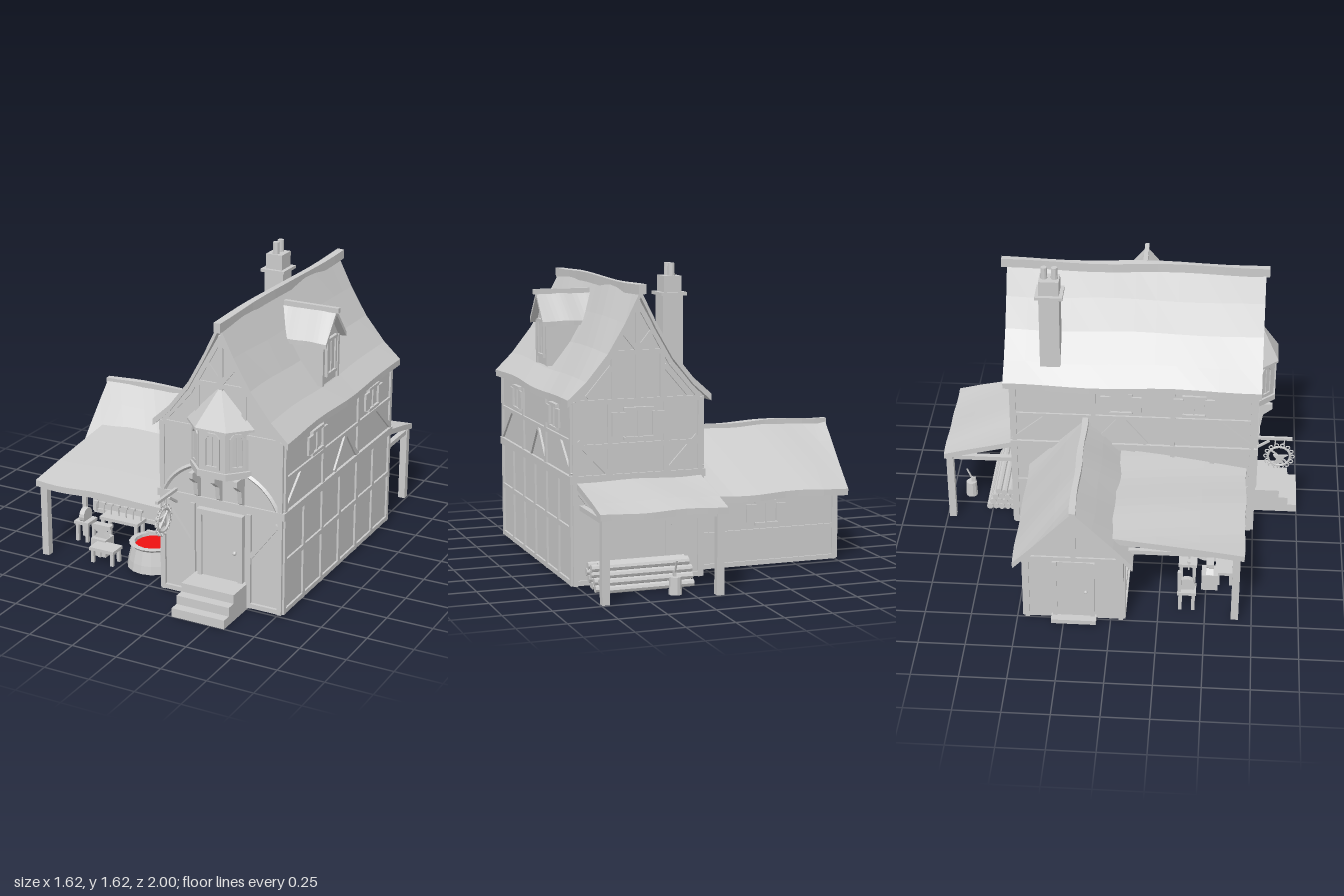
import * as THREE from 'three';
import { ConvexGeometry } from 'three/addons/geometries/ConvexGeometry.js';

const grey = new THREE.MeshStandardMaterial({ color: 0xcccccc, flatShading: true, side: THREE.DoubleSide });
const red = new THREE.MeshStandardMaterial({ color: 0xee1111, flatShading: true });

function add(parent, name, geo, x = 0, y = 0, z = 0, mat = grey) {
  const m = new THREE.Mesh(geo, mat);
  m.name = name;
  m.position.set(x, y, z);
  parent.add(m);
  return m;
}
// box given by its limits
function box(p, name, x0, x1, y0, y1, z0, z1) {
  return add(p, name, new THREE.BoxGeometry(x1 - x0, y1 - y0, z1 - z0), (x0 + x1) / 2, (y0 + y1) / 2, (z0 + z1) / 2);
}
function group(p, name, x = 0, y = 0, z = 0, ry = 0) {
  const g = new THREE.Group();
  g.name = name;
  g.position.set(x, y, z);
  g.rotation.y = ry;
  p.add(g);
  return g;
}
const shape = pts => new THREE.Shape(pts.map(q => new THREE.Vector2(...q)));
const extrude = (pts, depth) => new THREE.ExtrudeGeometry(shape(pts), { depth, bevelEnabled: false });

// wavy roof slab: profile [across, y] swept from b0 to b1 along z or x
function roof(p, name, prof, b0, b1, alongX, th = 0.03, wave = 0.006) {
  const n = prof.length - 1;
  const g = new THREE.BoxGeometry(1, 1, 1, n, 1, 12), pos = g.attributes.position;
  for (let i = 0; i < pos.count; i++) {
    const k = Math.round((pos.getX(i) + 0.5) * n), w = pos.getZ(i), t = pos.getY(i) - 0.5;
    const b = (b0 + b1) / 2 + (alongX ? -w : w) * (b1 - b0);
    const y = prof[k][1] + t * th + wave * Math.sin(w * 9 + k * 0.7);
    const a = prof[k][0] + wave * 0.6 * Math.sin(w * 13 + k);
    if (alongX) pos.setXYZ(i, b, y, a); else pos.setXYZ(i, a, y, b);
  }
  g.computeVertexNormals();
  return add(p, name, g);
}
// flat timber between two points of a wall
function timber(wall, x0, y0, x1, y1, w = 0.025) {
  const m = add(wall, 'timber', new THREE.BoxGeometry(Math.hypot(x1 - x0, y1 - y0), w, 0.016), (x0 + x1) / 2, (y0 + y1) / 2, 0);
  m.rotation.z = Math.atan2(y1 - y0, x1 - x0);
}
// window with frame, bars and open shutters
function shutteredWindow(wall, x, y, w = 0.11, h = 0.12) {
  const g = group(wall, 'window', x, y, 0);
  box(g, 'pane', -w / 2, w / 2, -h / 2, h / 2, -0.01, 0.006);
  for (const s of [-1, 1]) {
    box(g, 'frameRail', -w / 2 - 0.01, w / 2 + 0.01, s * h / 2 - 0.008, s * h / 2 + 0.008, 0, 0.02);
    add(g, 'shutter', new THREE.BoxGeometry(w / 2, h * 0.8, 0.012), s * (w * 0.77), 0, 0.014);
  }
  box(g, 'bar', -0.004, 0.004, -h / 2, h / 2, 0, 0.014);
}
function post(p, name, x, z, h, w = 0.04) { box(p, name, x - w / 2, x + w / 2, 0, h, z - w / 2, z + w / 2); }
// open-bottomed ring of four walls
function walls(p, name, x0, x1, y0, y1, z0, z1, t = 0.02) {
  const g = group(p, name);
  box(g, 'backWall', x0, x1, y0, y1, z0, z0 + t);
  box(g, 'frontWall', x0, x1, y0, y1, z1 - t, z1);
  box(g, 'rightWall', x0, x0 + t, y0, y1, z0 + t, z1 - t);
  box(g, 'leftWall', x1 - t, x1, y0, y1, z0 + t, z1 - t);
}

function mainHouse(root) {
  const h = group(root, 'mainHouse');
  walls(h, 'groundFloor', 0.08, 0.775, 0.01, 0.56, -0.605, 0.735);
  add(h, 'upperFloor', extrude([[0.08, 0.55], [0.775, 0.55], [0.775, 0.96], [0.6, 1.14], [0.425, 1.46], [0.25, 1.14], [0.08, 0.96]], 1.35), 0, 0, -0.605);
  box(h, 'floorBand', 0.065, 0.79, 0.535, 0.575, -0.615, 0.755);
  roof(h, 'mainRoof', [[0.045, 0.96], [0.14, 1.05], [0.25, 1.19], [0.34, 1.345], [0.425, 1.51], [0.51, 1.345], [0.6, 1.19], [0.71, 1.05], [0.805, 0.96]], -0.645, 0.765, false, 0.035);
  roof(h, 'ridgeBeam', [[0.405, 1.53], [0.44, 1.53]], -0.675, 0.785, false, 0.05);

  // framing of the two long sides
  for (const s of [1, -1]) {
    const w = group(h, 'sideFraming', s > 0 ? 0.778 : 0.077, 0, 0, s * Math.PI / 2);
    for (let i = 0; i <= 6; i++) {
      const x = -0.725 * s + s * i * 0.2195;
      timber(w, x, 0.01, x, 0.54);
      if (i % 2 === 0) timber(w, x, 0.57, x, 0.95);
    }
    const a = s > 0 ? -0.73 : -0.6, b = s > 0 ? 0.6 : 0.73;
    for (const y of [0.025, 0.3, 0.945]) timber(w, a, y, b, y);
    timber(w, a, 0.75, b, 0.75, 0.02);
    timber(w, a, 0.58, a + 0.2, 0.75); timber(w, b, 0.58, b - 0.2, 0.75);
    timber(w, 0, 0.75, -0.14, 0.58); timber(w, 0, 0.75, 0.14, 0.58);
    for (const z of s > 0 ? [0.385, -0.325] : [0.4, 0]) shutteredWindow(w, -s * z, 0.845);
  }
  // framing of the two gables
  for (const s of [1, -1]) {
    const w = group(h, 'gableFraming', 0.4275, 0, s > 0 ? 0.745 : -0.608, s > 0 ? 0 : Math.PI);
    for (const e of [-1, 1]) {
      timber(w, e * 0.335, 0.01, e * 0.335, 0.95);
      timber(w, e * 0.16, 0.01, e * 0.16, 0.53);
      timber(w, e * 0.32, 0.5, e * 0.17, 0.3);
      timber(w, e * 0.33, 0.95, e * 0.175, 1.13); timber(w, e * 0.175, 1.13, 0, 1.44);
      timber(w, e * 0.13, 0.95, e * 0.13, 1.19);
      timber(w, 0, 1.2, e * 0.08, 1.3);
      if (s < 0) {
        timber(w, e * 0.15, 0.57, e * 0.15, 0.95);
        timber(w, e * 0.32, 0.75, e * 0.16, 0.58);
        timber(w, e * 0.27, 0.97, e * 0.14, 1.12);
      }
    }
    timber(w, 0, 0.95, 0, 1.45);
    timber(w, -0.33, 0.945, 0.33, 0.945); timber(w, -0.14, 1.19, 0.14, 1.19);
    timber(w, -0.33, 0.025, 0.33, 0.025);
    if (s < 0) { timber(w, -0.33, 0.72, 0.33, 0.72); shutteredWindow(w, 0, 0.83, 0.14, 0.15); }
  }
  // front door and steps
  const d = group(h, 'frontDoor', 0.43, 0, 0.735);
  box(d, 'doorLeaf', -0.11, 0.11, 0.14, 0.485, 0, 0.018);
  for (const s of [-1, 1]) box(d, 'doorPost', s * 0.117 - 0.012, s * 0.117 + 0.012, 0.14, 0.51, 0, 0.03);
  box(d, 'lintel', -0.13, 0.13, 0.485, 0.515, 0, 0.035);
  add(d, 'knob', new THREE.SphereGeometry(0.011, 8, 6), 0.085, 0.305, 0.028);
  for (let i = 0; i < 3; i++) box(h, 'step', 0.28, 0.58, i ? i * 0.048 : 0, (i + 1) * 0.048, 0.735, 1 - i * 0.052);

  // chimney with two pots
  const c = group(h, 'chimney', 0.18, 0, -0.39);
  box(c, 'stack', -0.055, 0.055, 0.98, 1.46, -0.055, 0.055);
  box(c, 'cap', -0.07, 0.07, 1.455, 1.472, -0.075, 0.075);
  box(c, 'crown', -0.048, 0.048, 1.47, 1.555, -0.055, 0.055);
  for (const z of [-0.028, 0.028]) add(c, 'pot', new THREE.CylinderGeometry(0.017, 0.019, 0.07, 10), 0, 1.585, z);

  // dormer facing the left side
  const o = group(h, 'dormer', 0.44, 0, 0.102, Math.PI / 2);
  add(o, 'dormerWalls', extrude([[-0.1, 1.06], [0.1, 1.06], [0.1, 1.29], [0, 1.42], [-0.1, 1.29]], 0.28));
  roof(o, 'dormerRoof', [[-0.125, 1.3], [0, 1.45], [0.125, 1.3]], 0.02, 0.315, false, 0.025, 0.002);
  box(o, 'dormerRidge', -0.012, 0.012, 1.435, 1.462, 0.02, 0.33);
  box(o, 'dormerPane', -0.045, 0.045, 1.12, 1.29, 0.27, 0.286);
  for (const s of [-1, 1]) {
    box(o, 'dormerFrame', s * 0.05 - 0.008, s * 0.05 + 0.008, 1.1, 1.3, 0.27, 0.295);
    box(o, 'dormerCorner', s * 0.092 - 0.01, s * 0.092 + 0.01, 1.06, 1.29, 0.27, 0.29);
  }
  box(o, 'dormerBar', -0.004, 0.004, 1.12, 1.29, 0.27, 0.292);
  for (const y of [1.11, 1.295]) box(o, 'dormerRail', -0.06, 0.06, y - 0.008, y + 0.008, 0.27, 0.297);
}

function bayWindow(root) {
  const b = group(root, 'bayWindow', 0.425, 0, 0.742);
  const plan = k => [[-0.172 * k, 0], [-0.078 * k, 0.1 * k], [0.078 * k, 0.1 * k], [0.172 * k, 0]];
  const prism = (k, y0, y1) => new ConvexGeometry(plan(k).flatMap(([x, z]) => [new THREE.Vector3(x, y0, z), new THREE.Vector3(x, y1, z)]));
  add(b, 'bayBase', prism(1.03, 0.73, 0.765));
  add(b, 'bayBody', prism(0.93, 0.765, 0.985));
  add(b, 'bayRoof', new ConvexGeometry([...plan(1.12).flatMap(([x, z]) => [new THREE.Vector3(x, 0.978, z), new THREE.Vector3(x, 0.99, z)]), new THREE.Vector3(0, 1.19, 0)]));
  // one framed pane on each of the three faces
  const t = Math.atan2(0.094, 0.1);
  for (const [x, z, a, w] of [[0, 0.093, 0, 0.09], [0.116, 0.047, t, 0.08], [-0.116, 0.047, -t, 0.08]]) {
    const f = group(b, 'bayPane', x, 0.875, z, a);
    const s = shape([[-w / 2, -0.095], [w / 2, -0.095], [w / 2, 0.07], [w / 4, 0.095], [-w / 4, 0.095], [-w / 2, 0.07]]);
    const q = w / 2 - 0.014;
    s.holes.push(new THREE.Path([[-q, -0.08], [q, -0.08], [q, 0.06], [q / 2, 0.08], [-q / 2, 0.08], [-q, 0.06]].map(p => new THREE.Vector2(...p))));
    add(f, 'paneFrame', new THREE.ExtrudeGeometry(s, { depth: 0.01, bevelEnabled: false }));
    box(f, 'paneBar', -0.003, 0.003, -0.08, 0.08, 0, 0.006);
  }
  // brackets below and curved braces on the wall
  for (const x of [-0.125, 0, 0.125]) {
    const m = add(b, 'bracket', extrude([[0, 0.57], [0.03, 0.59], [0.04, 0.66], [0.09, 0.7], [0.09, 0.73], [0, 0.73]], 0.024), x - 0.012, 0, 0);
    m.rotation.y = -Math.PI / 2;
    m.position.x = x + 0.012;
  }
  for (const s of [-1, 1]) {
    const v = (x, y) => new THREE.Vector3(s * x, y, 0.006);
    add(b, 'curvedBrace', new THREE.TubeGeometry(new THREE.QuadraticBezierCurve3(v(0.32, 0.58), v(0.27, 0.69), v(0.15, 0.74)), 10, 0.012, 4));
  }
}

function hangingSign(root) {
  const s = group(root, 'hangingSign', 0.17, 0.465, 0.88);
  box(s, 'signArm', -0.008, 0.008, 0.112, 0.128, -0.14, 0.07);
  const strut = box(s, 'signStrut', -0.006, 0.006, 0.07, 0.082, -0.145, -0.05);
  strut.rotation.x = -0.6;
  const ring = add(s, 'signRing', new THREE.TorusGeometry(0.062, 0.007, 6, 24));
  ring.rotation.y = Math.PI / 2;
  for (let i = 0; i < 14; i++) {
    const a = i / 14 * Math.PI * 2;
    add(s, 'rimLoop', new THREE.TorusGeometry(0.011, 0.004, 5, 10), 0, Math.sin(a) * 0.074, Math.cos(a) * 0.074).rotation.y = Math.PI / 2;
  }
  for (const z of [-0.025, 0.025]) box(s, 'chain', -0.003, 0.003, 0.06, 0.115, z - 0.003, z + 0.003);
  add(s, 'anvilEmblem', extrude([[-0.03, -0.04], [0.03, -0.04], [0.012, -0.01], [0.05, 0.015], [-0.035, 0.015], [-0.012, -0.015]], 0.01), -0.005).rotation.y = -Math.PI / 2;
  const bar = box(s, 'hammerEmblem', -0.005, 0.005, -0.004, 0.004, -0.055, 0.055);
  bar.rotation.x = 0.7;
}

function sideWing(root) {
  const w = group(root, 'sideWing');
  walls(w, 'wingWalls', -0.75, 0.08, 0.01, 0.41, -0.46, 0.07);
  const gable = add(w, 'wingGable', extrude([[-0.265, 0.4], [0.265, 0.4], [0, 0.69]], 0.83), -0.75, 0, -0.195);
  gable.rotation.y = Math.PI / 2;
  roof(w, 'wingRoof', [[-0.515, 0.4], [-0.41, 0.51], [-0.3, 0.625], [-0.195, 0.73], [-0.09, 0.625], [0.02, 0.51], [0.12, 0.4]], -0.795, 0.08, true, 0.035);
  roof(w, 'wingRidge', [[-0.212, 0.74], [-0.18, 0.74]], -0.8, 0.08, true, 0.03);
  const e = group(w, 'endFraming', -0.752, 0, -0.195, -Math.PI / 2);
  for (const s of [-1, 1]) {
    timber(e, s * 0.25, 0.01, s * 0.25, 0.41);
    timber(e, s * 0.25, 0.41, 0, 0.68);
    box(e, 'doorPost', s * 0.1 - 0.012, s * 0.1 + 0.012, 0.03, 0.39, -0.01, 0.018);
  }
  timber(e, -0.25, 0.405, 0.25, 0.405); timber(e, 0, 0.41, 0, 0.67);
  box(e, 'wingDoor', -0.09, 0.09, 0.03, 0.39, -0.01, 0.012);
  add(e, 'doorKnob', new THREE.SphereGeometry(0.01, 8, 6), 0.065, 0.2, 0.02);
  box(e, 'wingStep', -0.12, 0.12, 0.01, 0.035, 0, 0.058);
  for (const s of [1, -1]) {
    const f = group(w, 'wallFraming', -0.335, 0, s > 0 ? 0.072 : -0.462, s > 0 ? 0 : Math.PI);
    for (const x of [-0.4, 0.4]) timber(f, x, 0.01, x, 0.4);
    for (const y of [0.02, 0.19, 0.395]) timber(f, -0.41, y, 0.41, y);
    if (s < 0) shutteredWindow(f, 0, 0.29);
  }
}

function workshop(root) {
  const w = group(root, 'workshop');
  roof(w, 'workshopRoof', [[0, 0.53], [0.23, 0.505], [0.46, 0.475], [0.7, 0.44]], -0.72, 0.08, true, 0.035);
  post(w, 'workshopPost', -0.685, 0.66, 0.41); post(w, 'workshopPost', 0.07, 0.66, 0.41, 0.03);
  box(w, 'workshopBeam', -0.72, 0.08, 0.395, 0.42, 0.645, 0.675);
  for (const x of [-0.685, -0.3, 0.06]) box(w, 'rafter', x - 0.012, x + 0.012, 0.41, 0.435, 0.07, 0.68);
  // forge with glowing coals
  const f = group(w, 'forge', -0.09, 0, 0.53);
  add(f, 'forgeTub', new THREE.LatheGeometry([[0, 0.02], [0.145, 0.015], [0.138, 0.06], [0.12, 0.135], [0.135, 0.15], [0.105, 0.152], [0.1, 0.12], [0, 0.12]].map(p => new THREE.Vector2(...p)), 16));
  add(f, 'coals', new THREE.CylinderGeometry(0.1, 0.1, 0.012, 16), 0, 0.13, 0, red);
  for (const x of [-0.05, 0.05]) box(f, 'ironBar', x - 0.04, x + 0.04, 0.15, 0.162, -0.09, -0.07);
  // benches
  const bench = (x, z, l, d, h) => {
    const g = group(w, 'bench', x, 0, z);
    box(g, 'benchTop', -l / 2, l / 2, h - 0.018, h, -d / 2, d / 2);
    for (const i of [-1, 1]) for (const k of [-1, 1]) post(g, 'benchLeg', i * (l / 2 - 0.015), k * (d / 2 - 0.015), h - 0.015, 0.018);
    return g;
  };
  bench(-0.35, 0.6, 0.15, 0.1, 0.09);
  bench(-0.36, 0.4, 0.24, 0.1, 0.18);
  const anvil = add(w, 'anvil', extrude([[-0.04, 0], [0.04, 0], [0.018, 0.03], [0.06, 0.06], [0.06, 0.075], [-0.045, 0.075], [-0.045, 0.055], [-0.018, 0.03]], 0.04), -0.42, 0.1, 0.5);
  post(w, 'anvilBlock', anvil.position.x, 0.52, 0.1, 0.09);
  // tool rail
  box(w, 'toolRail', -0.53, -0.23, 0.238, 0.244, 0.397, 0.403);
  for (let i = 0; i < 7; i++) {
    const x = -0.525 + i * 0.047;
    box(w, 'toolHandle', x - 0.003, x + 0.003, 0.185, 0.24, 0.403, 0.409);
    box(w, 'toolHead', x - 0.013, x + 0.013, 0.235, 0.248, 0.4, 0.414);
  }
  // grindstone on a stand
  const g = bench(-0.6, 0.4, 0.09, 0.1, 0.12);
  add(g, 'grindstone', new THREE.CylinderGeometry(0.045, 0.045, 0.03, 16), 0, 0.145, 0).rotation.z = Math.PI / 2;
  box(g, 'standBack', -0.04, -0.015, 0.12, 0.25, -0.05, -0.03);
}

function backPorch(root) {
  const p = group(root, 'backPorch');
  roof(p, 'porchRoof', [[-1, 0.45], [-0.87, 0.485], [-0.74, 0.515], [-0.605, 0.545]], 0.09, 0.755, true, 0.032, 0.004);
  for (const x of [0.125, 0.725]) {
    post(p, 'porchPost', x, -0.97, 0.42);
    box(p, 'porchRail', x - 0.015, x + 0.015, 0.4, 0.425, -0.985, -0.605);
  }
  box(p, 'porchBeam', 0.1, 0.745, 0.4, 0.425, -0.985, -0.955);
  // stacked logs
  [5, 4, 4, 3].forEach((n, r) => {
    for (let i = 0; i < n; i++) {
      const j = Math.sin(r * 7 + i * 3);
      add(p, 'log', new THREE.CylinderGeometry(0.019, 0.019, 0.5 + j * 0.02, 8), 0.44 + j * 0.015, 0.02 + r * 0.034, -0.63 - i * 0.034 - (r % 2) * 0.015).rotation.z = Math.PI / 2;
    }
  });
  // chopping block with axe
  add(p, 'choppingBlock', new THREE.CylinderGeometry(0.03, 0.034, 0.09, 10), 0.33, 0.045, -0.89);
  box(p, 'axeHandle', 0.326, 0.334, 0.09, 0.18, -0.9, -0.892).rotation.x = -0.4;
  box(p, 'axeHead', 0.324, 0.336, 0.085, 0.12, -0.89, -0.865);
}

export function createModel() {
  const root = new THREE.Group();
  root.name = 'smithyHouse';
  for (const part of [mainHouse, bayWindow, hangingSign, sideWing, workshop, backPorch]) part(root);
  return root;
}
